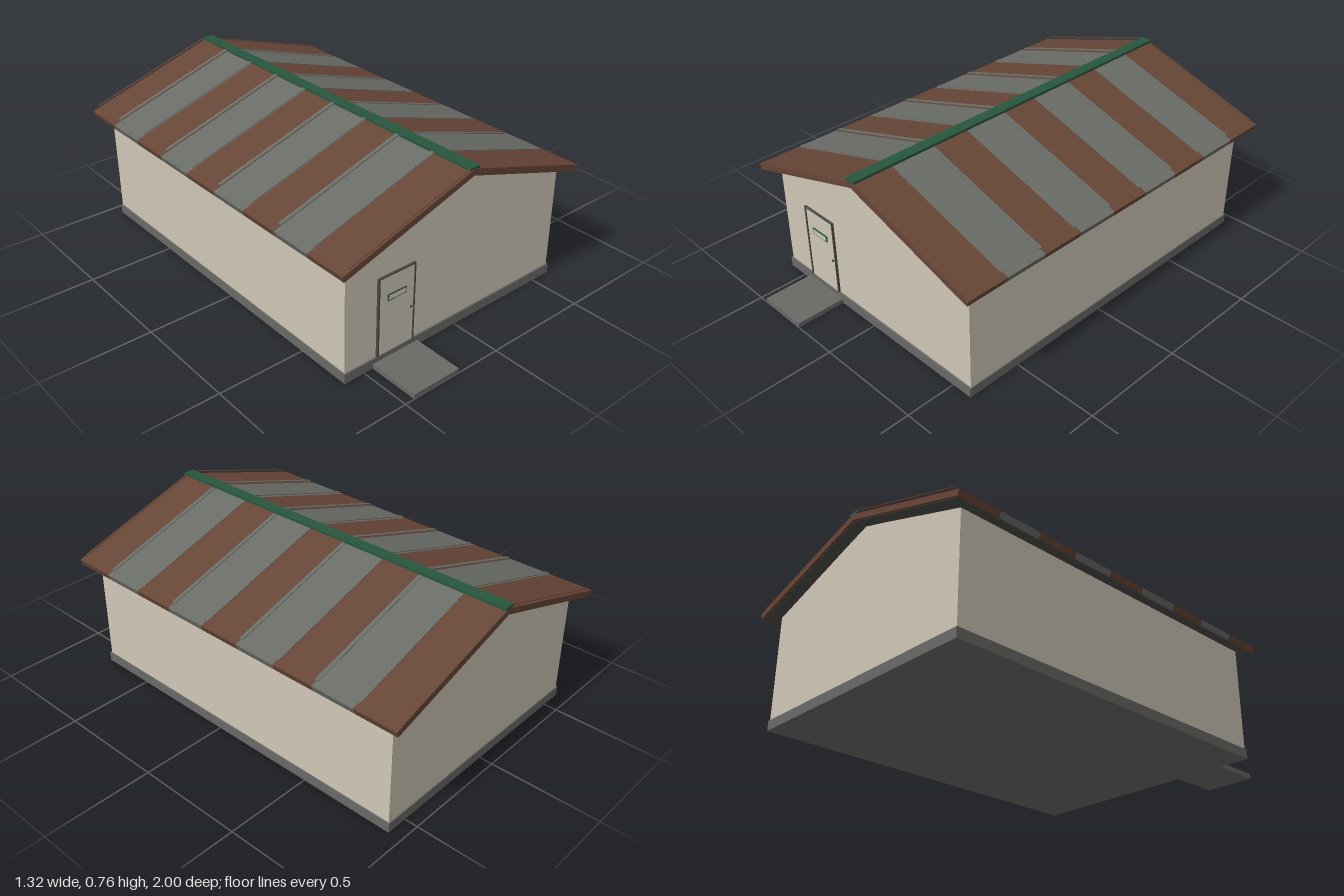
import * as THREE from 'three';

const paint = (name, color) => {
  const m = new THREE.MeshStandardMaterial({ color });
  m.name = name;
  return m;
};

export function createModel() {
  const house = new THREE.Group();
  house.name = 'house';
  const plaster = paint('plaster', 0xcfc7b7);
  const brown = paint('brown roofing', 0x674636);
  const grey = paint('grey roofing', 0x6a6c67);
  const concrete = paint('concrete', 0x696966);
  const green = paint('green trim', 0x28573f);
  const dark = paint('dark frame', 0x4a4a46);

  const add = (name, geometry, material) => {
    const mesh = new THREE.Mesh(geometry, material);
    mesh.name = name;
    house.add(mesh);
    return mesh;
  };
  // Box given by its limits
  const box = (name, material, x0, x1, y0, y1, z0, z1) =>
    add(name, new THREE.BoxGeometry(x1 - x0, y1 - y0, z1 - z0), material)
      .position.set((x0 + x1) / 2, (y0 + y1) / 2, (z0 + z1) / 2);
  // Outline in x and y, extruded from z0 to z1
  const prism = (name, material, points, z0, z1) => {
    const shape = new THREE.Shape(points.map(([x, y]) => new THREE.Vector2(x, y)));
    const geometry = new THREE.ExtrudeGeometry(shape, { depth: z1 - z0, bevelEnabled: false });
    add(name, geometry, material).position.z = z0;
  };

  // Foundation, entrance step and gabled walls
  box('foundation', concrete, -0.6, 0.6, 0, 0.045, -0.94, 0.765);
  box('entranceStep', concrete, -0.455, -0.215, 0, 0.022, 0.765, 1);
  prism('walls', plaster,
    [[-0.595, 0.045], [0.595, 0.045], [0.595, 0.53], [0, 0.727], [-0.595, 0.53]], -0.935, 0.757);

  // Roof: nine alternating stripes on each slope, with seams between them
  const back = -1, front = 0.82, count = 9, step = (front - back) / count;
  const ridge = 0.755, pitch = 0.314;
  const slope = (x) => ridge - pitch * x;
  for (const side of [-1, 1]) {
    const label = side > 0 ? 'left' : 'right';
    const flip = (points) => points.map(([x, y]) => [side * x, y]);
    const slab = flip([[0, ridge], [0.66, slope(0.66)], [0.652, 0.522], [0, 0.727]]);
    for (let i = 0; i < count; i++) {
      const z = back + i * step;
      prism(label + 'RoofStripe', i % 2 ? grey : brown, slab, z, z + step);
    }
    // Underside lining
    prism(label + 'Soffit', dark,
      flip([[0, 0.728], [0.645, 0.5255], [0.645, 0.5225], [0, 0.725]]), back + 0.01, front - 0.01);
    // Seams lie on one slope and stand clear of the other
    const lift = side > 0 ? 0 : 0.011;
    const seam = flip([
      [0.02, slope(0.02) + lift], [0.63, slope(0.63) + lift],
      [0.63, slope(0.63) + lift + 0.003], [0.02, slope(0.02) + lift + 0.003],
    ]);
    for (let i = 0; i <= count; i++) {
      const z = back + i * step;
      const end = i === 0 || i === count;
      prism(label + 'RoofSeam', end ? brown : grey, seam,
        i === 0 ? z : z - 0.009, i === count ? z : z + 0.009);
    }
  }
  box('ridgeCap', green, -0.026, 0.026, 0.753, 0.765, back, front);

  // Door with frame, handle and blank sign plate
  box('doorLeaf', plaster, -0.428, -0.243, 0.045, 0.406, 0.757, 0.763);
  box('doorFrameRight', dark, -0.434, -0.426, 0.045, 0.411, 0.757, 0.767);
  box('doorFrameLeft', dark, -0.245, -0.239, 0.045, 0.411, 0.757, 0.767);
  box('doorFrameTop', dark, -0.434, -0.239, 0.405, 0.411, 0.757, 0.767);
  box('doorHandle', dark, -0.262, -0.254, 0.205, 0.213, 0.763, 0.769);
  box('signBorder', green, -0.385, -0.287, 0.292, 0.32, 0.763, 0.768);
  box('signPlate', plaster, -0.38, -0.292, 0.297, 0.315, 0.767, 0.77);

  return house;
}
